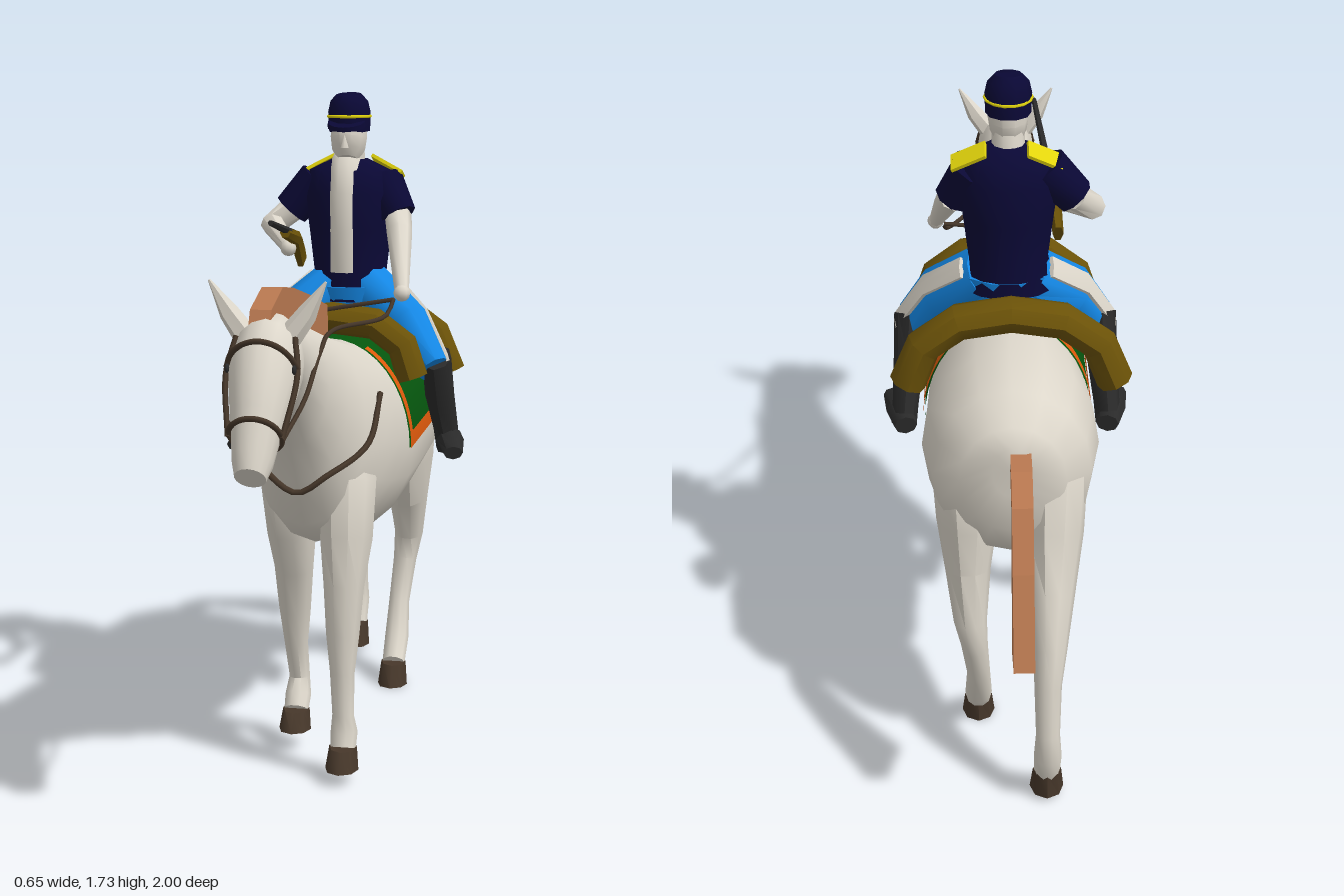
import * as THREE from 'three';
import { toCreasedNormals } from 'three/addons/utils/BufferGeometryUtils.js';

const V = (x, y, z) => new THREE.Vector3(x, y, z);
const X = V(1, 0, 0), Z = V(0, 0, 1);
const CX = -0.02;

function paint(name, color, side = THREE.FrontSide) {
  const m = new THREE.MeshStandardMaterial({ color, side });
  m.name = name;
  return m;
}

// Closed skin over rings of { c, u, v }: centre and two half axes
function loft(rings, sides) {
  const pos = [], idx = [], n = rings.length;
  for (const { c, u, v } of rings) {
    for (let j = 0; j < sides; j++) {
      const a = (j / sides) * Math.PI * 2;
      pos.push(...c.clone().addScaledVector(u, Math.cos(a)).addScaledVector(v, Math.sin(a)).toArray());
    }
  }
  pos.push(...rings[0].c.toArray(), ...rings[n - 1].c.toArray());
  const first = n * sides, last = first + 1;
  for (let j = 0; j < sides; j++) {
    const k = (j + 1) % sides;
    for (let i = 0; i < n - 1; i++) {
      const a = i * sides + j, b = i * sides + k;
      idx.push(a, b, a + sides, b, b + sides, a + sides);
    }
    idx.push(first, k, j, last, (n - 1) * sides + j, (n - 1) * sides + k);
  }
  const g = new THREE.BufferGeometry();
  g.setAttribute('position', new THREE.Float32BufferAttribute(pos, 3));
  g.setIndex(idx);
  return toCreasedNormals(g, 0.8);
}

// Skin along a path of [x, y, z, halfWidth, halfDepth]; width runs along ref
function limb(pts, sides = 10, ref = X) {
  const p = pts.map(q => V(q[0], q[1], q[2]));
  return loft(pts.map((q, i) => {
    const t = p[Math.min(i + 1, p.length - 1)].clone().sub(p[Math.max(i - 1, 0)]).normalize();
    const u = ref.clone().addScaledVector(t, -ref.dot(t)).normalize();
    const v = t.clone().cross(u);
    return { c: p[i], u: u.multiplyScalar(q[3]), v: v.multiplyScalar(q[4] ?? q[3]) };
  }), sides);
}

// Ring from top and bottom points in the side plane
function sideRing([zt, yt, zb, yb, w, x]) {
  return { c: V(x, (yt + yb) / 2, (zt + zb) / 2), u: V(w, 0, 0), v: V(0, (yt - yb) / 2, (zt - zb) / 2) };
}

// Point on such a ring at an angle in degrees, 90 being the top
function onRing(row, deg, grow = 1) {
  const { c, u, v } = sideRing(row), a = deg * Math.PI / 180;
  return c.addScaledVector(u, grow * Math.cos(a)).addScaledVector(v, grow * Math.sin(a)).toArray();
}

// Side-plane outline of [z, y] given a thickness
function slab(pts, x, d) {
  const s = new THREE.Shape(pts.map(p => new THREE.Vector2(...p)));
  return new THREE.ExtrudeGeometry(s, { depth: d, bevelEnabled: false }).rotateY(-Math.PI / 2).translate(x + d / 2, 0, 0);
}

function strap(pts, r = 0.007, closed = false) {
  const c = new THREE.CatmullRomCurve3(pts.map(p => V(...p)), closed, 'centripetal');
  return new THREE.TubeGeometry(c, pts.length * 5, r, 5, closed);
}

export function createModel() {
  const coat = paint('pale coat and skin', 0xdcd6ca), hair = paint('chestnut hair', 0xb87850);
  const navy = paint('navy cloth', 0x0a0835), blue = paint('blue cloth', 0x1488e6);
  const green = paint('green cloth', 0x06560e, THREE.DoubleSide), orange = paint('orange trim', 0xe05a0c, THREE.DoubleSide);
  const olive = paint('olive leather', 0x6b5208), black = paint('black leather', 0x2a2a2a);
  const brown = paint('dark brown', 0x46372a), yellow = paint('yellow trim', 0xe2d40c);

  const model = new THREE.Group();
  const horse = new THREE.Group(), tack = new THREE.Group(), rider = new THREE.Group();
  horse.name = 'horse'; tack.name = 'tack'; rider.name = 'rider';
  model.add(horse, tack, rider);
  const add = (parent, name, geo, mat) => {
    const m = new THREE.Mesh(geo, mat);
    m.name = name;
    parent.add(m);
    return m;
  };

  // Horse trunk, neck and head in one skin
  const shoulder = [0.22, 1.12, 0.3, 0.6, 0.17, -0.028];
  const chest = [0.3, 1.14, 0.42, 0.67, 0.147, -0.034];
  const breast = [0.38, 1.16, 0.48, 0.79, 0.12, -0.038];
  const trunk = [
    [-0.67, 0.98, -0.66, 0.84, 0.05, -0.025], [-0.64, 1.02, -0.655, 0.74, 0.13, -0.025],
    [-0.55, 1.07, -0.59, 0.64, 0.195, -0.025], [-0.4, 1.1, -0.42, 0.58, 0.222, -0.025],
    [-0.2, 1.09, -0.2, 0.555, 0.209, -0.023], [0, 1.08, -0.02, 0.55, 0.199, -0.02],
    [0.14, 1.1, 0.16, 0.575, 0.184, -0.022], shoulder, chest, breast,
    [0.5, 1.19, 0.57, 0.9, 0.092, -0.037], [0.62, 1.21, 0.67, 1.02, 0.077, -0.04],
    [0.75, 1.25, 0.72, 1.05, 0.073, -0.04], [0.82, 1.24, 0.745, 1.035, 0.083, -0.04],
    [0.89, 1.19, 0.79, 1.01, 0.081, -0.04], [0.945, 1.07, 0.865, 0.96, 0.06, -0.04],
    [0.985, 0.98, 0.915, 0.9, 0.047, -0.04], [1, 0.935, 0.945, 0.882, 0.036, -0.04],
  ];
  add(horse, 'body', loft(trunk.map(sideRing), 16), coat);

  // Legs and hooves, caught mid-stride
  const legs = {
    leftFore: [[0.045, 0.88, 0.28, 0.03, 0.06], [0.055, 0.77, 0.295, 0.073, 0.12], [0.055, 0.62, 0.32, 0.068, 0.1], [0.055, 0.5, 0.355, 0.052, 0.06],
      [0.055, 0.38, 0.37, 0.043, 0.046], [0.055, 0.28, 0.375, 0.032, 0.032], [0.058, 0.17, 0.38, 0.028, 0.026], [0.06, 0.125, 0.375, 0.035, 0.034], [0.06, 0.085, 0.39, 0.033, 0.033]],
    rightFore: [[-0.1, 0.88, 0.25, 0.03, 0.06], [-0.11, 0.77, 0.25, 0.073, 0.11], [-0.11, 0.62, 0.21, 0.066, 0.09], [-0.11, 0.5, 0.185, 0.052, 0.052],
      [-0.115, 0.38, 0.15, 0.043, 0.046], [-0.115, 0.28, 0.135, 0.032, 0.031], [-0.11, 0.18, 0.115, 0.028, 0.028], [-0.11, 0.135, 0.135, 0.035, 0.033], [-0.11, 0.1, 0.16, 0.033, 0.033]],
    leftHind: [[0.08, 0.94, -0.46, 0.04, 0.08], [0.09, 0.84, -0.47, 0.085, 0.15], [0.085, 0.68, -0.5, 0.078, 0.13], [0.085, 0.55, -0.53, 0.058, 0.085], [0.08, 0.42, -0.58, 0.042, 0.052],
      [0.07, 0.34, -0.575, 0.034, 0.042], [0.06, 0.22, -0.53, 0.03, 0.032], [0.06, 0.12, -0.485, 0.035, 0.034], [0.06, 0.06, -0.425, 0.033, 0.032]],
    rightHind: [[-0.12, 0.94, -0.5, 0.04, 0.08], [-0.13, 0.84, -0.51, 0.085, 0.145], [-0.125, 0.68, -0.57, 0.078, 0.12], [-0.12, 0.55, -0.66, 0.058, 0.078], [-0.115, 0.44, -0.735, 0.042, 0.052],
      [-0.11, 0.35, -0.76, 0.034, 0.037], [-0.11, 0.22, -0.785, 0.03, 0.029], [-0.11, 0.15, -0.785, 0.035, 0.033], [-0.11, 0.08, -0.755, 0.033, 0.033]],
  };
  const hoofDrop = { leftFore: 0.05, rightFore: 0.047, leftHind: 0.06, rightHind: 0.065 };
  for (const [name, pts] of Object.entries(legs)) {
    const [x, y, z] = pts[pts.length - 1], d = hoofDrop[name];
    add(horse, name + 'Leg', limb(pts), coat);
    add(horse, name + 'Hoof', loft([
      { c: V(x, y - d, z + 0.018), u: V(0.043, 0, 0), v: V(0, 0, -0.053) },
      { c: V(x, y + 0.004, z), u: V(0.036, 0, 0), v: V(0, 0.006, -0.036) },
    ], 8), brown);
  }

  // Ears, eyes, mane and tail
  for (const s of [-1, 1]) {
    add(horse, 'ear', limb([[-0.04 + s * 0.045, 1.19, 0.79, 0.03, 0.026], [-0.04 + s * 0.09, 1.25, 0.785, 0.024, 0.022], [-0.04 + s * 0.135, 1.325, 0.79, 0.003]], 6), coat);
    const eye = add(horse, 'eye', new THREE.SphereGeometry(0.011, 8, 6), black);
    eye.position.set(-0.04 + s * 0.077, 1.135, 0.863);
    eye.scale.x = 0.5;
  }
  add(horse, 'mane', slab([[0.83, 1.2], [0.8, 1.26], [0.68, 1.297], [0.57, 1.285], [0.35, 1.24], [0.14, 1.19],
    [0.13, 1.12], [0.17, 1.08], [0.46, 1.14], [0.7, 1.19]], -0.053, 0.05), hair);
  add(horse, 'tail', slab([[-0.65, 0.965], [-0.74, 0.96], [-0.82, 0.91], [-0.9, 0.78], [-1, 0.575],
    [-0.85, 0.525], [-0.81, 0.72], [-0.76, 0.88], [-0.65, 0.92]], -0.043, 0.05), hair);

  // Saddle cloth draped over the back, its flaps bordered in orange
  const half = Math.PI / 2, edge = 0.14, flap = 0.45;
  const drape = (name, z0, z1, a0, a1, r, mat) => {
    const g = new THREE.CylinderGeometry(1, 1, z1 - z0, 20, 1, true, a0, a1 - a0).rotateX(-half);
    g.scale(0.213 + r, 0.282 + r, 1);
    add(tack, name, g.translate(-0.022, 0.823, (z0 + z1) / 2), mat);
  };
  drape('saddleCloth', -0.255, 0.15, -half, half, 0, green);
  for (const s of [-1, 1]) {
    const border = (name, z0, z1, a) => drape(name, z0, z1, Math.min(s * a, s * half), Math.max(s * a, s * half), 0.004, orange);
    border('clothFrontBorder', 0.11, 0.152, flap);
    border('clothRearBorder', -0.257, -0.222, flap);
    border('clothLowerBorder', -0.257, 0.152, half - edge);
  }

  // Bedrolls bent over the back
  const roll = (name, arc, x, z, a, r) => {
    const left = arc.map(([px, y]) => [x - px, y, z, a, r]);
    const right = arc.slice(0, -1).reverse().map(([px, y]) => [x + px, y, z, a, r]);
    add(tack, name, limb([...left, ...right], 8, Z), olive);
  };
  roll('frontRoll', [[0.21, 0.995], [0.183, 1.08], [0.11, 1.135], [0, 1.148]], -0.025, 0.075, 0.046, 0.042);
  roll('rearRoll', [[0.262, 0.955], [0.22, 1.06], [0.13, 1.125], [0, 1.145]], -0.03, -0.297, 0.052, 0.047);

  // Bridle, reins and breast strap
  const sweep = (from, to, n) => Array.from({ length: n + 1 }, (_, i) => from + (to - from) * i / n);
  const nose = [0.962, 1.04, 0.875, 0.945, 0.06, -0.04], brow = [0.89, 1.2, 0.77, 1.02, 0.084, -0.04];
  add(tack, 'noseband', strap(sweep(0, 330, 11).map(a => onRing(nose, a)), 0.007, true), brown);
  add(tack, 'browband', strap(sweep(15, 165, 6).map(a => onRing(brow, a, 1.02))), brown);
  for (const s of [-1, 1]) {
    const x = d => -0.04 + s * d;
    add(tack, 'cheekStrap', strap([[x(0.068), 1.2, 0.81], [x(0.082), 1.12, 0.855], [x(0.062), 0.99, 0.925]]), brown);
    add(tack, 'rein', strap([[x(0.062), 0.985, 0.92], [x(0.078), 1.05, 0.75], [x(0.077), 1.13, 0.57], [x(0.075), 1.16, 0.38],
      [s > 0 ? 0.13 : -0.08, 1.17, 0.16], [0.14, 1.205, 0.11]], 0.006), brown);
  }
  const strapHalf = [[shoulder, 27, 1.03], [chest, -8, 1.04], [breast, -55, 1.08]];
  add(tack, 'breastStrap', strap([
    ...strapHalf.map(p => onRing(...p)),
    onRing(breast, -90, 1.12),
    ...strapHalf.reverse().map(([row, a, grow]) => onRing(row, 180 - a, grow)),
  ], 0.008), brown);

  // Rider's jacket, shirt front and head
  const torso = [[1.17, 0.115, 0.095], [1.25, 0.1, 0.085], [1.36, 0.113, 0.092], [1.46, 0.127, 0.095], [1.52, 0.112, 0.078], [1.55, 0.05, 0.045]];
  add(rider, 'jacket', limb(torso.map(([y, a, d]) => [-0.025, y, -0.175, a, d]), 14), navy);
  add(rider, 'shirtFront', limb(torso.slice(1).map(([y, , d]) => [-0.03, y, -0.175 + d - 0.024, 0.042, 0.031]), 10), coat);
  add(rider, 'neck', limb([[-0.025, 1.52, -0.175, 0.042], [-0.025, 1.59, -0.16, 0.04]]), coat);
  add(rider, 'head', limb([[-0.025, 1.55, -0.135, 0.028, 0.035], [-0.025, 1.575, -0.145, 0.045, 0.055], [-0.025, 1.61, -0.15, 0.05, 0.062], [-0.025, 1.66, -0.155, 0.046, 0.052]]), coat);
  add(rider, 'nose', new THREE.ConeGeometry(0.011, 0.035, 4).translate(-0.025, 1.6, -0.087), coat);

  // Cap with its peak and cord
  add(rider, 'cap', limb([[-0.025, 1.625, -0.16, 0.056, 0.067], [-0.025, 1.675, -0.157, 0.058, 0.066], [-0.025, 1.705, -0.155, 0.051, 0.058], [-0.025, 1.722, -0.153, 0.034, 0.042]], 10), navy);
  add(rider, 'capBrim', new THREE.CylinderGeometry(0.05, 0.052, 0.012, 12).rotateX(0.3).translate(-0.025, 1.645, -0.114), navy);
  add(rider, 'capCord', new THREE.TorusGeometry(0.06, 0.004, 4, 14).rotateX(half).scale(0.97, 1, 1.12).translate(-0.025, 1.664, -0.157), yellow);

  // Arms: the left reaches for the reins, the right holds the carbine
  const arms = {
    left: [[0.06, 1.493, -0.185], [0.11, 1.4, -0.15], [0.125, 1.36, -0.08], [0.16, 1.22, 0.1]],
    right: [[-0.115, 1.493, -0.185], [-0.19, 1.41, -0.18], [-0.235, 1.37, -0.15], [-0.165, 1.32, -0.02]],
  };
  for (const [name, [top, cuff, elbow, hand]] of Object.entries(arms)) {
    add(rider, name + 'Sleeve', limb([[...top, 0.057], [...cuff, 0.05]], 9), navy);
    add(rider, name + 'Forearm', limb([[...cuff, 0.036], [...elbow, 0.034], [...hand, 0.018]], 8), coat);
    add(rider, name + 'Hand', new THREE.SphereGeometry(0.022, 8, 6).translate(...hand), coat);
  }
  for (const s of [-1, 1]) {
    const e = add(rider, 'epaulette', new THREE.BoxGeometry(0.095, 0.009, 0.055), yellow);
    e.position.set(CX + s * 0.093, 1.529, -0.205);
    e.rotation.set(-0.35, 0, -s * 0.5);
  }

  // Trousers with outer stripe, boots
  add(rider, 'trouserSeat', limb([[CX, 1.12, -0.17, 0.1, 0.08], [CX, 1.21, -0.17, 0.116, 0.098]]), blue);
  for (const s of [-1, 1]) {
    const x = d => CX + s * d;
    add(rider, 'trouserLeg', limb([[x(0.05), 1.2, -0.17, 0.07, 0.08], [x(0.165), 1.11, -0.1, 0.066, 0.08], [x(0.245), 1, -0.05, 0.045, 0.07]]), blue);
    add(rider, 'trouserStripe', limb([[x(0.113), 1.227, -0.2, 0.008, 0.032], [x(0.209), 1.143, -0.128, 0.009, 0.034], [x(0.283), 1.013, -0.068, 0.008, 0.032]], 6), coat);
    add(rider, 'boot', limb([[x(0.25), 1.03, -0.06, 0.04, 0.062], [x(0.253), 0.92, -0.11, 0.04, 0.052], [x(0.263), 0.82, -0.165, 0.034, 0.042], [x(0.268), 0.765, -0.18, 0.033, 0.045]], 8), black);
    add(rider, 'foot', limb([[x(0.262), 0.785, -0.225, 0.03, 0.025], [x(0.277), 0.79, -0.15, 0.038, 0.035], [x(0.3), 0.775, -0.04, 0.026, 0.018]], 8), black);
  }

  // Carbine
  add(rider, 'carbineBarrel', limb([[-0.11, 1.425, 0.44, 0.007], [-0.14, 1.363, 0.03, 0.011]], 6), black);
  add(rider, 'carbineStock', limb([[-0.13, 1.378, 0.18, 0.014], [-0.145, 1.348, -0.02, 0.018, 0.02], [-0.152, 1.285, -0.13, 0.014, 0.032]], 6), olive);
  return model;
}
